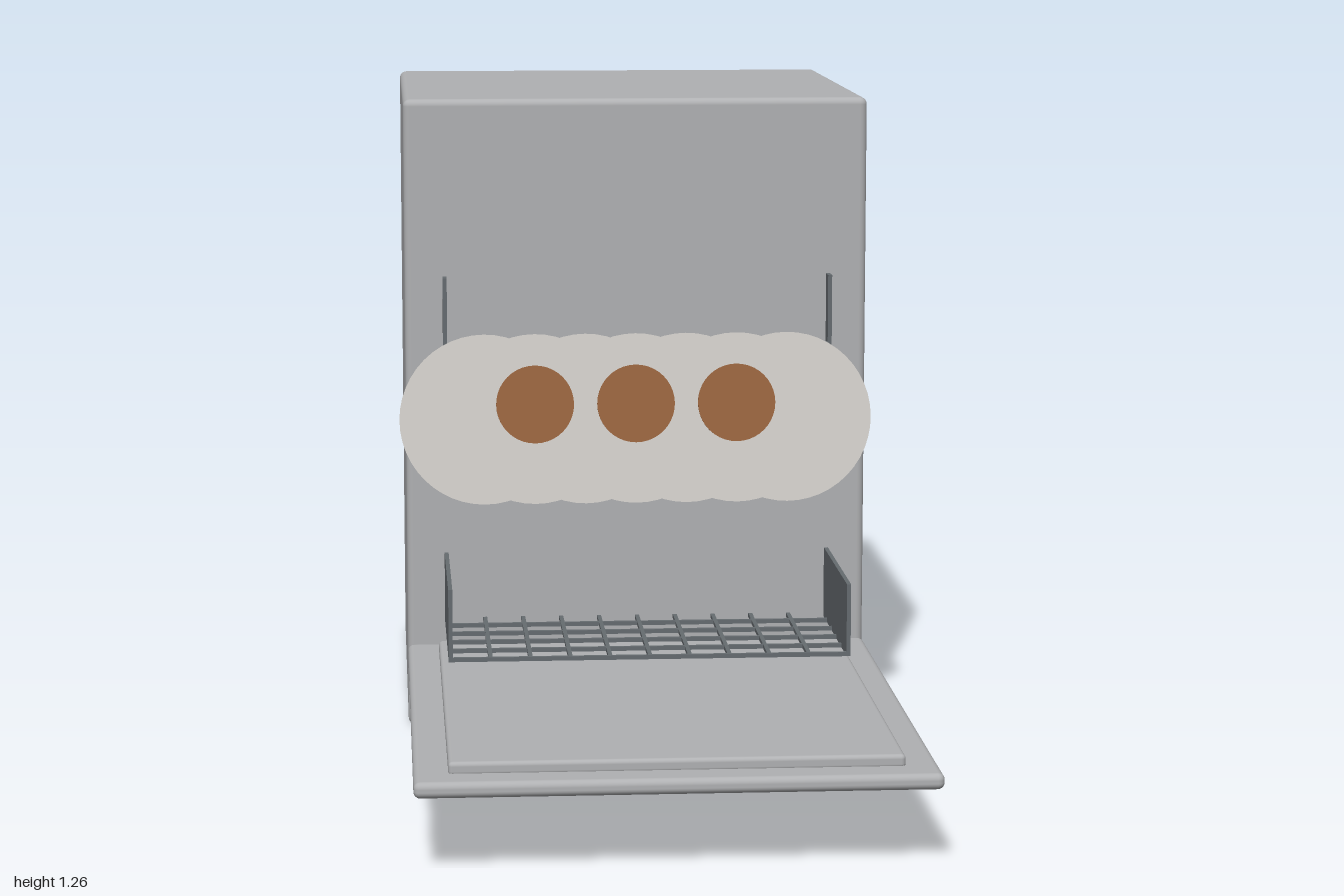
import * as THREE from 'three';
import { RoundedBoxGeometry } from 'three/addons/geometries/RoundedBoxGeometry.js';

function material(name, color) {
  const m = new THREE.MeshStandardMaterial({ color });
  m.name = name;
  return m;
}

export function createModel() {
  const model = new THREE.Group();
  model.name = 'dishwasher';
  const steel = material('steel grey', 0xb0b1b3);
  const wire = material('dark rack grey', 0x666c70);
  const china = material('off white china', 0xd3d0cb);
  const brown = material('brown', 0x9a6540);

  function add(parent, name, geometry, mat, x, y, z) {
    const mesh = new THREE.Mesh(geometry, mat);
    mesh.name = name;
    mesh.position.set(x, y, z);
    parent.add(mesh);
    return mesh;
  }
  // Box given by its minimum and maximum corners, optionally rounded
  function span(parent, name, mat, a, b, radius = 0) {
    const s = a.map((v, i) => b[i] - v);
    const c = a.map((v, i) => (b[i] + v) / 2);
    const g = radius ? new RoundedBoxGeometry(...s, 3, radius) : new THREE.BoxGeometry(...s);
    return add(parent, name, g, mat, ...c);
  }

  // Cabinet and the door lying open in front of it
  span(model, 'cabinet', steel, [-0.455, 0, -1], [0.465, 1.262, -0.11], 0.014);
  span(model, 'door', steel, [-0.455, 0.141, -0.106], [0.465, 0.17, 1], 0.012);
  span(model, 'doorInnerPanel', steel, [-0.394, 0.165, -0.042], [0.405, 0.19, 0.937], 0.008);

  // Rack sliding out of the cabinet: two side plates over a wire grid
  function rack(name, y, front) {
    const group = new THREE.Group();
    group.name = name;
    const back = -0.4, left = -0.376, right = 0.389, bar = 0.008;
    for (const x of [left, right]) {
      span(group, 'rackSide', wire, [x - 0.004, y, back], [x + 0.004, y + 0.141, front]);
    }
    for (let i = 0; i <= 10; i++) {
      const x = left + (right - left) * i / 10;
      span(group, 'lengthwiseBar', wire, [x - bar / 2, y, back], [x + bar / 2, y + bar, front]);
    }
    for (let z = front; z > back; z -= 0.077) {
      span(group, 'crossBar', wire, [left, y, z - bar], [right, y + bar, z]);
    }
    model.add(group);
  }
  rack('lowerRack', 0.214, 0.262);
  rack('upperRack', 0.771, -0.075);

  // Row of overlapping plates leaning back
  const plates = new THREE.Group();
  plates.name = 'plates';
  plates.position.set(0, 0.634, -0.046);
  plates.rotation.x = -0.125;
  const plate = new THREE.CylinderGeometry(0.168, 0.16, 0.014, 48).rotateX(Math.PI / 2);
  for (let i = -3; i <= 3; i++) add(plates, 'plate', plate, china, i * 0.1, 0, 0);

  // Round brown spots on the plates
  const spot = new THREE.CylinderGeometry(0.077, 0.077, 0.006, 40).rotateX(Math.PI / 2);
  for (const x of [-0.2, 0, 0.2]) add(plates, 'brownSpot', spot, brown, x, 0.029, 0.008);
  model.add(plates);

  return model;
}
